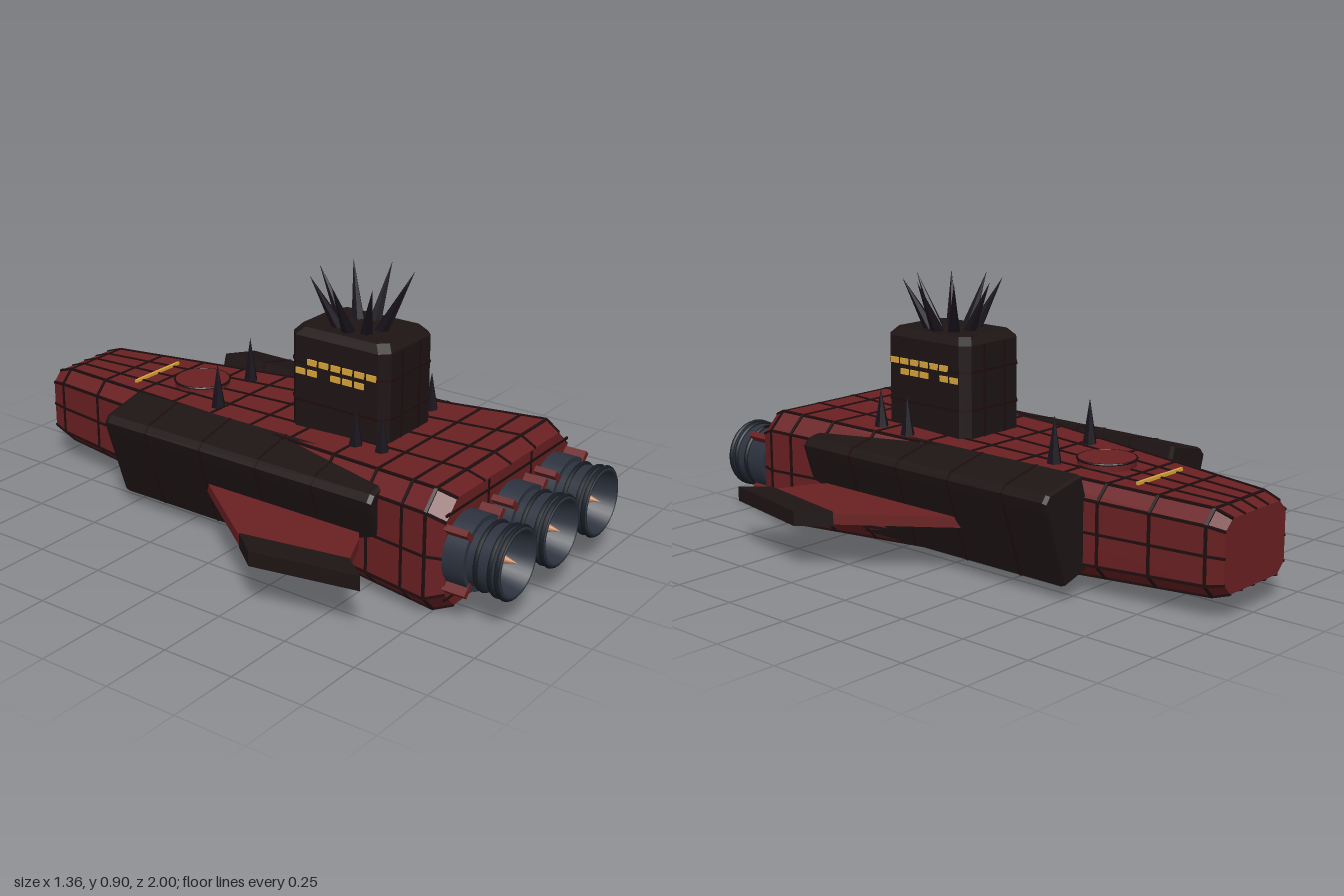
import * as THREE from 'three';

const mat = (color) => new THREE.MeshStandardMaterial({ color, flatShading: true, roughness: 0.9 });
const smooth = (color) => new THREE.MeshStandardMaterial({ color, roughness: 0.9, side: THREE.DoubleSide });
const RED = mat(0x6a2022), DARK = mat(0x1e1414), SEAM = mat(0x1f0d0e), BLACK = mat(0x17121a);
const STEEL = smooth(0x2c323e), RING = smooth(0x171b23);
const COPPER = smooth(0xc98a62), GOLD = mat(0xd9a53a);

// Solid skin over rings of [x, y, z] (counter-clockwise seen from +z, ordered towards +z)
function loft(rings) {
  const pos = [], n = rings[0].length;
  const tri = (a, b, c) => pos.push(...a, ...b, ...c);
  for (let i = 0; i < rings.length - 1; i++) {
    for (let j = 0; j < n; j++) {
      const k = (j + 1) % n, A = rings[i], B = rings[i + 1];
      tri(A[j], A[k], B[k]);
      tri(A[j], B[k], B[j]);
    }
  }
  const last = rings[rings.length - 1];
  for (let j = 1; j < n - 1; j++) {
    tri(last[0], last[j], last[j + 1]);
    tri(rings[0][0], rings[0][j + 1], rings[0][j]);
  }
  const g = new THREE.BufferGeometry();
  g.setAttribute('position', new THREE.Float32BufferAttribute(pos, 3));
  g.computeVertexNormals();
  return g;
}

// Chamfered rectangle ring: half width, bottom, top, chamfer, depth
const octagon = (w, y0, y1, c, z) => [
  [w, y0 + c, z], [w, y1 - c, z], [w - c, y1, z], [c - w, y1, z],
  [-w, y1 - c, z], [-w, y0 + c, z], [c - w, y0, z], [w - c, y0, z]];

// Hull stations: z, half width, bottom, top, chamfer
const HULL = [
  [-1, 0.16, 0.09, 0.325, 0.035], [-0.94, 0.175, 0.07, 0.345, 0.045],
  [0.75, 0.392, 0.008, 0.412, 0.06], [0.81, 0.37, 0.03, 0.388, 0.06]];

function hullRing(z, grow = 0) {
  let i = 0;
  while (i < HULL.length - 2 && z > HULL[i + 1][0]) i++;
  const t = (z - HULL[i][0]) / (HULL[i + 1][0] - HULL[i][0]);
  const [, w, y0, y1, c] = HULL[i].map((v, k) => THREE.MathUtils.lerp(v, HULL[i + 1][k], t));
  return octagon(w + grow, y0 - grow, y1 + grow, c, z);
}
const deckY = (z) => hullRing(z)[2][1];

export function createModel() {
  const root = new THREE.Group();
  const add = (name, geo, material, x = 0, y = 0, z = 0, parent = root) => {
    const m = new THREE.Mesh(geo, material);
    m.name = name;
    m.position.set(x, y, z);
    parent.add(m);
    return m;
  };
  const box = (name, w, h, d, material, x, y, z, parent) =>
    add(name, new THREE.BoxGeometry(w, h, d), material, x, y, z, parent);

  // Hull with panel seams across and along it
  add('hull', loft(HULL.map((s) => hullRing(s[0]))), RED);
  for (const z of [-0.94, -0.75, -0.57, -0.4, -0.22, -0.04, 0.14, 0.34, 0.52, 0.66, 0.75]) {
    add('crossSeam', loft([hullRing(z - 0.005, 0.003), hullRing(z + 0.005, 0.003)]), SEAM);
  }
  const lines = [[0, 0], [0, 0.5], [1, 0], [2, 0], [2, 0.25], [2, 0.5], [2, 0.75], [3, 0], [4, 0],
    [4, 0.5], [5, 0], [6, 0], [6, 0.25], [6, 0.5], [6, 0.75], [7, 0]];
  for (const [edge, u] of lines) {
    const rings = HULL.map(([z]) => {
      const r = hullRing(z), a = r[edge], b = r[(edge + 1) % 8], s = 0.004;
      const x = a[0] + (b[0] - a[0]) * u, y = a[1] + (b[1] - a[1]) * u;
      return [[x + s, y - s, z], [x + s, y + s, z], [x - s, y + s, z], [x - s, y - s, z]];
    });
    add('longSeam', loft(rings), SEAM);
  }
  for (const x of [-0.13, 0.13]) box('sternSeam', 0.008, 0.35, 0.006, SEAM, x, 0.21, 0.81);
  box('sternSeam', 0.74, 0.008, 0.006, SEAM, 0, 0.35, 0.81);
  box('sternSeam', 0.74, 0.008, 0.006, SEAM, 0, 0.07, 0.81);
  box('bellyPlate', 0.13, 0.02, 0.1, SEAM, -0.065, 0.011, 0.7);

  // Round hatches on deck and belly, bow light strip
  for (const [name, y, z] of [['deckHatch', 0.373, -0.43], ['bellyHatch', 0.03, 0.025]]) {
    add(name, new THREE.CylinderGeometry(0.096, 0.096, 0.03, 24), RED, 0, y, z);
    const rim = add(name + 'Rim', new THREE.TorusGeometry(0.096, 0.004, 6, 32), SEAM,
      0, y + (y > 0.2 ? 0.012 : -0.012), z);
    rim.rotation.x = Math.PI / 2;
  }
  box('bowLight', 0.23, 0.012, 0.01, GOLD, 0, deckY(-0.64) + 0.004, -0.64);

  // Tilted side armour, fins and fin tips on both sides
  const plate = (pts, y, h) => {
    const g = new THREE.ExtrudeGeometry(new THREE.Shape(pts.map(([x, z]) => new THREE.Vector2(x, z))),
      { depth: h, bevelEnabled: false });
    return g.rotateX(Math.PI / 2).translate(0, y + h / 2, 0);
  };
  const armour = (z, s) => [[0.315, 0.05], [0.398, 0.3], [0.408, 0.335], [0.39, 0.358], [0.24, 0.392], [0.15, 0.1]]
    .map(([x, y]) => [0.28 + (x - 0.28) * s, 0.22 + (y - 0.22) * s, z]);
  const FIN = [[0.3, -0.19], [0.4, -0.06], [0.6, 0.21], [0.54, 0.58], [0.4, 0.52], [0.3, 0.45]];
  const TIP = [[0.6, 0.21], [0.68, 0.31], [0.61, 0.67], [0.535, 0.58]];
  // mirrored copy with the winding turned round
  const mirrorX = (geo) => {
    const g = geo.index ? geo.toNonIndexed() : geo.clone();
    const p = g.attributes.position;
    for (let i = 0; i < p.count; i += 3) {
      const v = [0, 2, 1].map((k) => [-p.getX(i + k), p.getY(i + k), p.getZ(i + k)]);
      v.forEach((q, k) => p.setXYZ(i + k, ...q));
    }
    g.computeVertexNormals();
    return g;
  };
  const pair = (name, geo, material) => {
    add(name + 'Left', geo, material);
    add(name + 'Right', mirrorX(geo), material);
  };
  pair('sideArmour', loft([armour(-0.52, 0.97), armour(-0.505, 1), armour(0.55, 1), armour(0.565, 0.97)]), DARK);
  for (const z of [-0.34, -0.11, 0.12, 0.34]) {
    pair('armourSeam', loft([armour(z - 0.004, 1.012), armour(z + 0.004, 1.012)]), SEAM);
  }
  pair('fin', plate(FIN, 0.186, 0.036), RED);
  pair('finTip', plate(TIP, 0.186, 0.05), DARK);

  // Command tower, seams, lit windows
  const tower = new THREE.Group();
  tower.name = 'tower';
  tower.position.set(0, 0, 0.245);
  root.add(tower);
  const plan = (y, g) => octagon(0.142 + g, -0.19 - g, 0.19 + g, 0.03, y);
  const upright = (rings) => loft(rings).rotateX(-Math.PI / 2);
  add('towerBody', upright([plan(0.33, 0), plan(0.7, 0), plan(0.725, -0.022)]), DARK, 0, 0, 0, tower);
  for (const y of [0.48, 0.61]) {
    add('towerSeam', upright([plan(y - 0.004, 0.002), plan(y + 0.004, 0.002)]), SEAM, 0, 0, 0, tower);
  }
  for (const s of [-1, 1]) {
    for (const x of [-0.05, 0.05]) box('towerSeam', 0.007, 0.36, 0.006, SEAM, x, 0.52, s * 0.19, tower);
    for (let i = 0; i < 6; i++) {
      box('window', 0.008, 0.02, 0.036, GOLD, s * 0.143, 0.617, 0.137 - i * 0.046, tower);
      if (i !== 3) box('window', 0.008, 0.02, 0.036, GOLD, s * 0.143, 0.581, 0.091 - i * 0.046, tower);
    }
  }

  // Crown of eight leaning spikes
  const up = new THREE.Vector3(0, 1, 0);
  for (let i = 0; i < 8; i++) {
    const a = i * Math.PI / 4;
    const from = new THREE.Vector3(Math.sin(a) * 0.065, 0.7, Math.cos(a) * 0.065);
    const to = new THREE.Vector3(Math.sin(a) * 0.17, 0.898, Math.cos(a) * 0.17);
    const dir = to.clone().sub(from);
    const spike = add('crownSpike', new THREE.ConeGeometry(0.025, dir.length(), 6), BLACK, 0, 0, 0, tower);
    spike.position.copy(from).add(to).multiplyScalar(0.5);
    spike.quaternion.setFromUnitVectors(up, dir.normalize());
  }

  // Deck spikes
  for (const [x, z] of [[0.12, -0.31], [-0.145, -0.24], [0.23, 0.24], [-0.18, 0.35], [-0.18, 0.45], [0.215, 0.38]]) {
    const y = deckY(z) - 0.02, h = 0.527 - y;
    add('deckSpike', new THREE.ConeGeometry(0.028, h, 6), BLACK, x, y + h / 2, z);
  }

  // Three engines: open bell, ribs, copper plug and four struts
  const V = (r, z) => new THREE.Vector2(r, z);
  const bell = [V(0.1, 0.78), V(0.105, 0.87), V(0.105, 0.92), V(0.112, 0.99), V(0.112, 1),
    V(0.102, 1), V(0.085, 0.92), V(0.06, 0.88), V(0, 0.87)];
  for (const x of [-0.265, 0, 0.265]) {
    const engine = new THREE.Group();
    engine.name = 'engine';
    engine.position.set(x, 0.21, 0);
    root.add(engine);
    add('bell', new THREE.LatheGeometry(bell, 32).rotateX(Math.PI / 2).scale(1, -1, 1).rotateZ(0), STEEL, 0, 0, 0, engine);
    add('collar', new THREE.CylinderGeometry(0.121, 0.121, 0.075, 32).rotateX(Math.PI / 2), STEEL, 0, 0, 0.845, engine);
    for (const [r, z] of [[0.107, 0.915], [0.11, 0.965], [0.112, 0.99]]) {
      add('rib', new THREE.TorusGeometry(r, 0.008, 8, 32), RING, 0, 0, z, engine);
    }
    add('plug', new THREE.ConeGeometry(0.036, 0.12, 16).rotateX(Math.PI / 2), COPPER, 0, 0, 0.935, engine);
    for (let i = 0; i < 4; i++) {
      const a = Math.PI / 4 + i * Math.PI / 2;
      const strut = box('strut', 0.05, 0.02, 0.08, RED, Math.cos(a) * 0.125, Math.sin(a) * 0.125, 0.845, engine);
      strut.rotation.z = a;
    }
  }
  return root;
}
